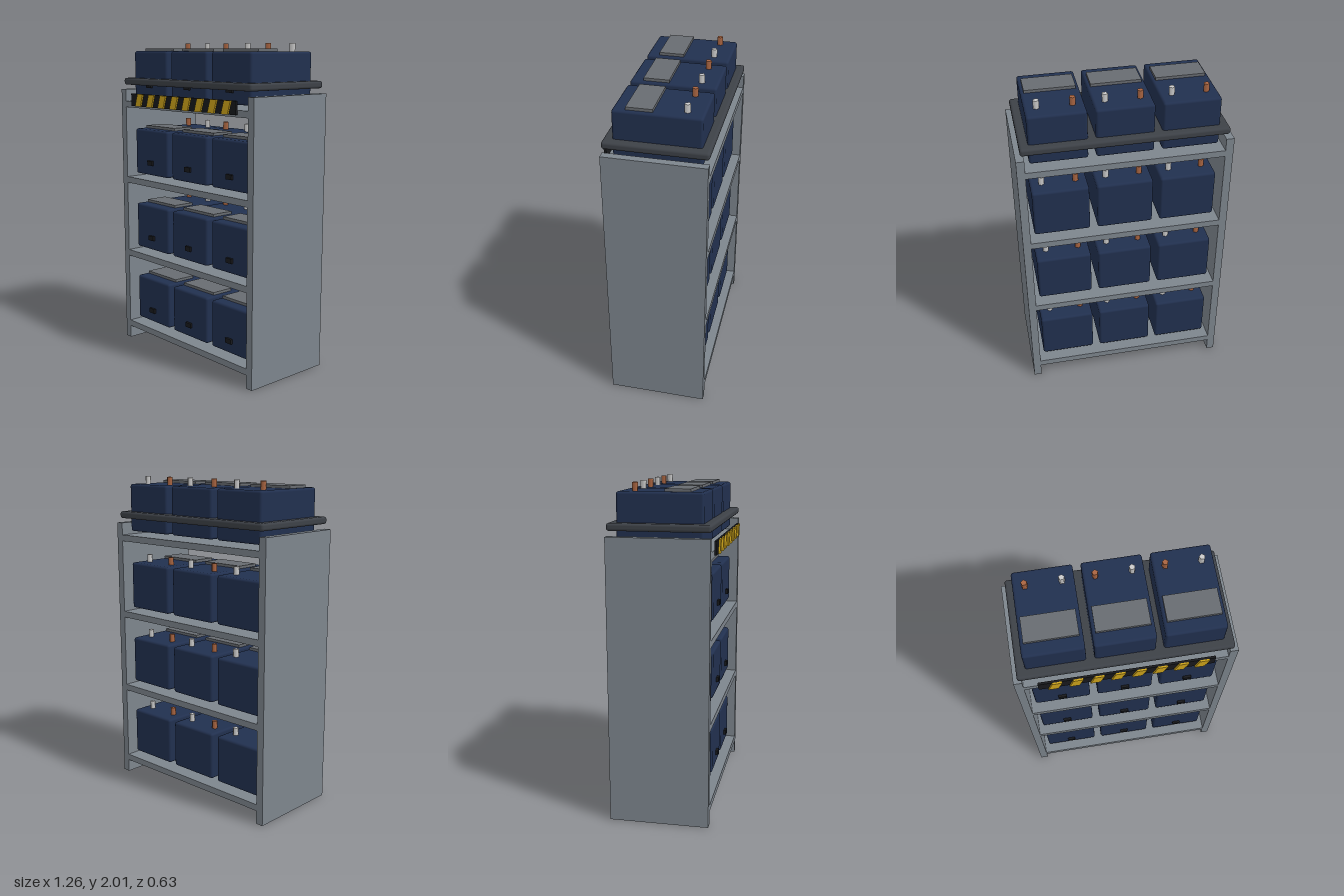
import * as THREE from 'three';
import { RoundedBoxGeometry } from 'three/addons/geometries/RoundedBoxGeometry.js';

const mat = (color) => new THREE.MeshStandardMaterial({ color });
const steel = mat(0x7d858d), navy = mat(0x21304f), charcoal = mat(0x3d4147), plate = mat(0x686c71);
const black = mat(0x18191c), yellow = mat(0xcfa51b), copper = mat(0xab6642), silver = mat(0xcccccc);

const Z = -0.013;      // centre of the rack's depth
const PITCH = 0.505;   // distance between shelves

function add(parent, name, geometry, material, x, y, z) {
  const mesh = new THREE.Mesh(geometry, material);
  mesh.name = name;
  mesh.position.set(x, y, z);
  parent.add(mesh);
  return mesh;
}

const caseGeo = new RoundedBoxGeometry(0.338, 0.3, 0.502, 2, 0.015);
const lidGeo = new THREE.BoxGeometry(0.298, 0.03, 0.15);
const slotGeo = new THREE.BoxGeometry(0.05, 0.03, 0.02);
const terminalGeo = new THREE.CylinderGeometry(0.018, 0.018, 0.06, 5).rotateY(Math.PI);

// One battery, with its origin at the centre of its underside
function makeBattery() {
  const battery = new THREE.Group();
  battery.name = 'battery';
  add(battery, 'batteryCase', caseGeo, navy, 0, 0.15, 0);
  add(battery, 'topPlate', lidGeo, plate, 0, 0.302, 0.1);
  add(battery, 'frontSlot', slotGeo, black, 0, 0.083, 0.256);
  add(battery, 'copperTerminal', terminalGeo, copper, -0.101, 0.319, -0.153);
  add(battery, 'silverTerminal', terminalGeo, silver, 0.101, 0.319, -0.153);
  return battery;
}

export function createModel() {
  const model = new THREE.Group();
  model.name = 'batteryRack';

  // Side panels
  const panelGeo = new THREE.BoxGeometry(0.048, 1.715, 0.6);
  for (const side of [-1, 1]) {
    add(model, side > 0 ? 'leftPanel' : 'rightPanel', panelGeo, steel, side * 0.606, 0.8575, Z);
  }

  // Shelves, each carrying a row of three batteries
  const shelfGeo = new THREE.BoxGeometry(1.164, 0.04, 0.6);
  for (let level = 0; level < 4; level++) {
    const y = level * PITCH;
    add(model, 'shelf', shelfGeo, steel, 0, 0.103 + y, Z);
    for (const x of [-0.383, 0, 0.383]) {
      const battery = makeBattery();
      battery.position.set(x, 0.147 + y, Z - 0.002);
      model.add(battery);
    }
  }

  // Dark top slab around the upper row
  add(model, 'topSlab', new RoundedBoxGeometry(1.206, 0.044, 0.6, 3, 0.015), charcoal, 0, 1.767, Z);

  // Hazard strip with slanted stripes
  add(model, 'hazardStrip', new THREE.BoxGeometry(1.0, 0.08, 0.014), black, 0, 1.651, 0.296);
  const stripe = new THREE.Shape([[-0.041, -0.04], [0.015, -0.04], [0.041, 0.04], [-0.015, 0.04]]
    .map(([x, y]) => new THREE.Vector2(x, y)));
  const stripeGeo = new THREE.ExtrudeGeometry(stripe, { depth: 0.011, bevelEnabled: false });
  for (let i = 0; i < 8; i++) {
    add(model, 'hazardStripe', stripeGeo, yellow, -0.405 + i * 0.1185, 1.651, 0.302);
  }

  return model;
}
